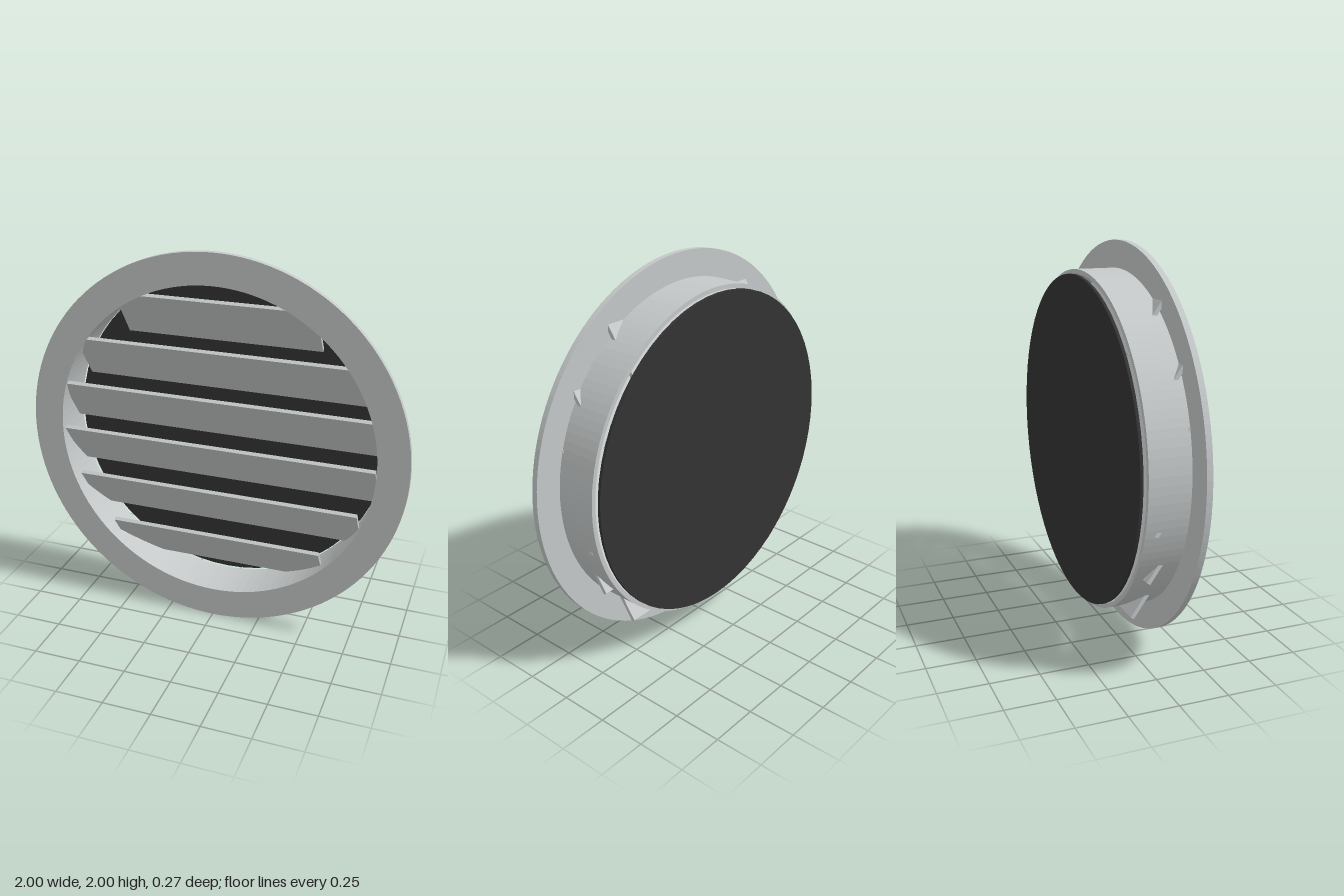
import * as THREE from 'three';

const SEGMENTS = 64;

// Flat ring with a round hole, extruded from z0 to z1
function ring(outer, inner, z0, z1, material, name) {
  const shape = new THREE.Shape().absarc(0, 0, outer, 0, Math.PI * 2, false);
  shape.holes.push(new THREE.Path().absarc(0, 0, inner, 0, Math.PI * 2, true));
  const geometry = new THREE.ExtrudeGeometry(shape, {
    depth: z1 - z0, bevelEnabled: false, curveSegments: SEGMENTS,
  });
  const mesh = new THREE.Mesh(geometry, material);
  mesh.position.set(0, 1, z0);
  mesh.name = name;
  return mesh;
}

export function createModel() {
  const group = new THREE.Group();
  group.name = 'roundVent';
  const metal = new THREE.MeshStandardMaterial({ color: 0xc4c8c8 });
  metal.name = 'light grey metal';
  const mesh = new THREE.MeshStandardMaterial({ color: 0x333333 });
  mesh.name = 'dark screen';

  // Front flange and the sleeve behind it
  group.add(ring(1, 0.84, 0.105, 0.135, metal, 'flange'));
  group.add(ring(0.862, 0.84, -0.105, 0.105, metal, 'sleeve'));

  // Louvre slats, front edge tilted up, ends reaching into the sleeve
  const louvres = new THREE.Group();
  louvres.name = 'louvres';
  const halfWidths = [0.57, 0.755, 0.832, 0.83, 0.74, 0.51];
  halfWidths.forEach((half, i) => {
    const slat = new THREE.Mesh(new THREE.BoxGeometry(half * 2, 0.02, 0.292), metal);
    slat.position.set(0, 0.364 + i * 0.2552, 0.033);
    slat.rotation.x = -THREE.MathUtils.degToRad(55);
    slat.name = 'slat' + (i + 1);
    louvres.add(slat);
  });
  group.add(louvres);

  // Dark insect screen, set just behind the sleeve
  const screen = new THREE.Mesh(new THREE.CylinderGeometry(0.84, 0.84, 0.015, SEGMENTS), mesh);
  screen.rotation.x = Math.PI / 2;
  screen.position.set(0, 1, -0.1275);
  screen.name = 'screen';
  group.add(screen);

  return group;
}
